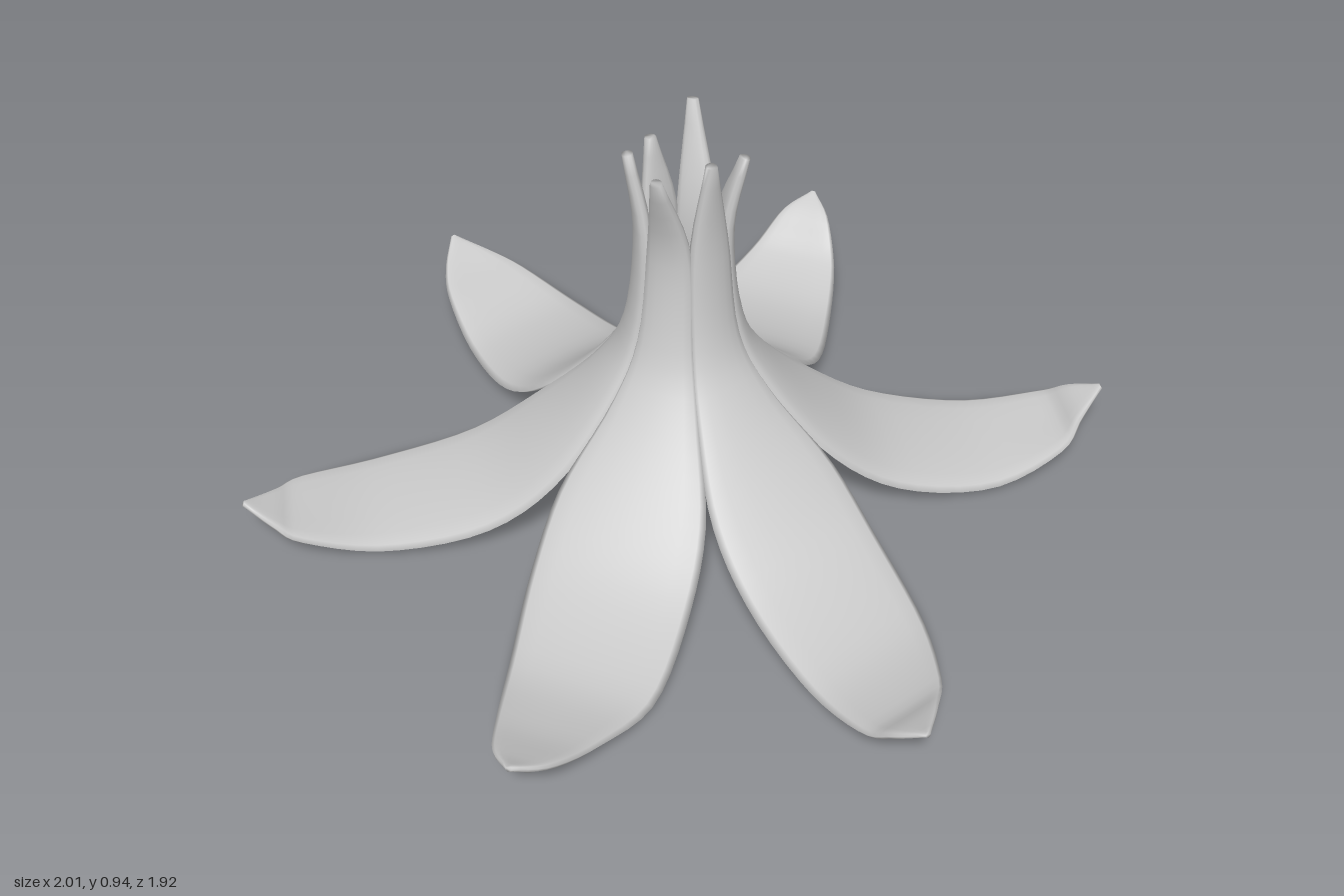
import * as THREE from 'three';

const RINGS = 40, SIDES = 16;

// Per petal: claw top [radius, sideways, height], sideways bend at middle and tip, tip [radius, height]
const PETALS = [
  { claw: [0.125, 0.03, 0.9], mid: 0, end: -0.02, tip: [1.0, 0.15] },
  { claw: [0.11, 0.015, 0.93], mid: 0.07, end: 0.21, tip: [1.02, 0.15] },
  { claw: [0.155, 0, 0.92], mid: -0.045, end: -0.056, tip: [1.07, 0.155] },
  { claw: [0.12, -0.01, 0.92], mid: 0, end: -0.07, tip: [1.0, 0.13] },
  { claw: [0.1, -0.01, 0.9], mid: 0.045, end: 0.053, tip: [1.03, 0.13] },
  { claw: [0.145, -0.035, 0.95], mid: -0.035, end: -0.03, tip: [1.03, 0.18] },
];

const smoothCurve = (rows) =>
  new THREE.CatmullRomCurve3(rows.map((p) => new THREE.Vector3(...p)), false, 'catmullrom', 0.5);

// A thick blade swept along a spine that lies in the x-y plane and sways in z
function petalGeometry({ claw, mid, end, tip }) {
  // [radius, height, sideways]
  const spine = smoothCurve([
    [claw[0], claw[2], claw[1]],
    [0.09, 0.71, 0],
    [0.115, 0.48, 0],
    [0.185, 0.34, 0],
    [0.32, 0.19, 0],
    [0.48, 0.08, mid * 0.3],
    [0.7, 0.03, mid],
    [0.88, 0.06, mid + (end - mid) * 0.5],
    [tip[0] - 0.06, tip[1] - 0.04, mid + (end - mid) * 0.8],
    [tip[0], tip[1], end],
  ]);
  // [half width, half thickness, arch]
  const section = smoothCurve([
    [0.012, 0.012, 0],
    [0.05, 0.019, 0.004],
    [0.066, 0.018, 0.008],
    [0.105, 0.016, 0.012],
    [0.172, 0.015, 0.014],
    [0.185, 0.015, 0.008],
    [0.165, 0.015, 0],
    [0.115, 0.014, -0.008],
    [0.065, 0.012, -0.006],
    [0.006, 0.006, 0],
  ]);

  const pos = [], index = [];
  for (let i = 0; i <= RINGS; i++) {
    const u = i / RINGS;
    const c = spine.getPoint(u), s = section.getPoint(u), t = spine.getTangent(u);
    const len = Math.hypot(t.x, t.y);
    const nx = -t.y / len, ny = t.x / len; // outward / upward face of the petal
    for (let j = 0; j < SIDES; j++) {
      const a = (j / SIDES) * Math.PI * 2;
      const across = Math.cos(a);
      const out = s.y * Math.sign(Math.sin(a)) * Math.pow(Math.abs(Math.sin(a)), 0.7) - s.z * across * across;
      pos.push(c.x + nx * out, c.y + ny * out, c.z + s.x * across);
    }
  }
  for (let i = 0; i < RINGS; i++) {
    for (let j = 0; j < SIDES; j++) {
      const k = (j + 1) % SIDES;
      const a = i * SIDES + j, b = i * SIDES + k, c = a + SIDES, d = b + SIDES;
      index.push(a, b, c, b, d, c);
    }
  }
  // Close both ends
  const last = RINGS * SIDES;
  for (let j = 1; j < SIDES - 1; j++) {
    index.push(0, j + 1, j);
    index.push(last, last + j, last + j + 1);
  }
  const geo = new THREE.BufferGeometry();
  geo.setAttribute('position', new THREE.Float32BufferAttribute(pos, 3));
  geo.setIndex(index);
  geo.computeVertexNormals();
  return geo;
}

export function createModel() {
  const flower = new THREE.Group();
  flower.name = 'flower';
  const material = new THREE.MeshStandardMaterial({ color: 0xcccccc, side: THREE.DoubleSide });

  // Six petals around a hollow centre set slightly back
  PETALS.forEach((p, i) => {
    const petal = new THREE.Mesh(petalGeometry(p), material);
    petal.name = `petal${i + 1}`;
    petal.rotation.y = (-i * Math.PI) / 3;
    petal.position.z = -0.04;
    flower.add(petal);
  });
  return flower;
}
